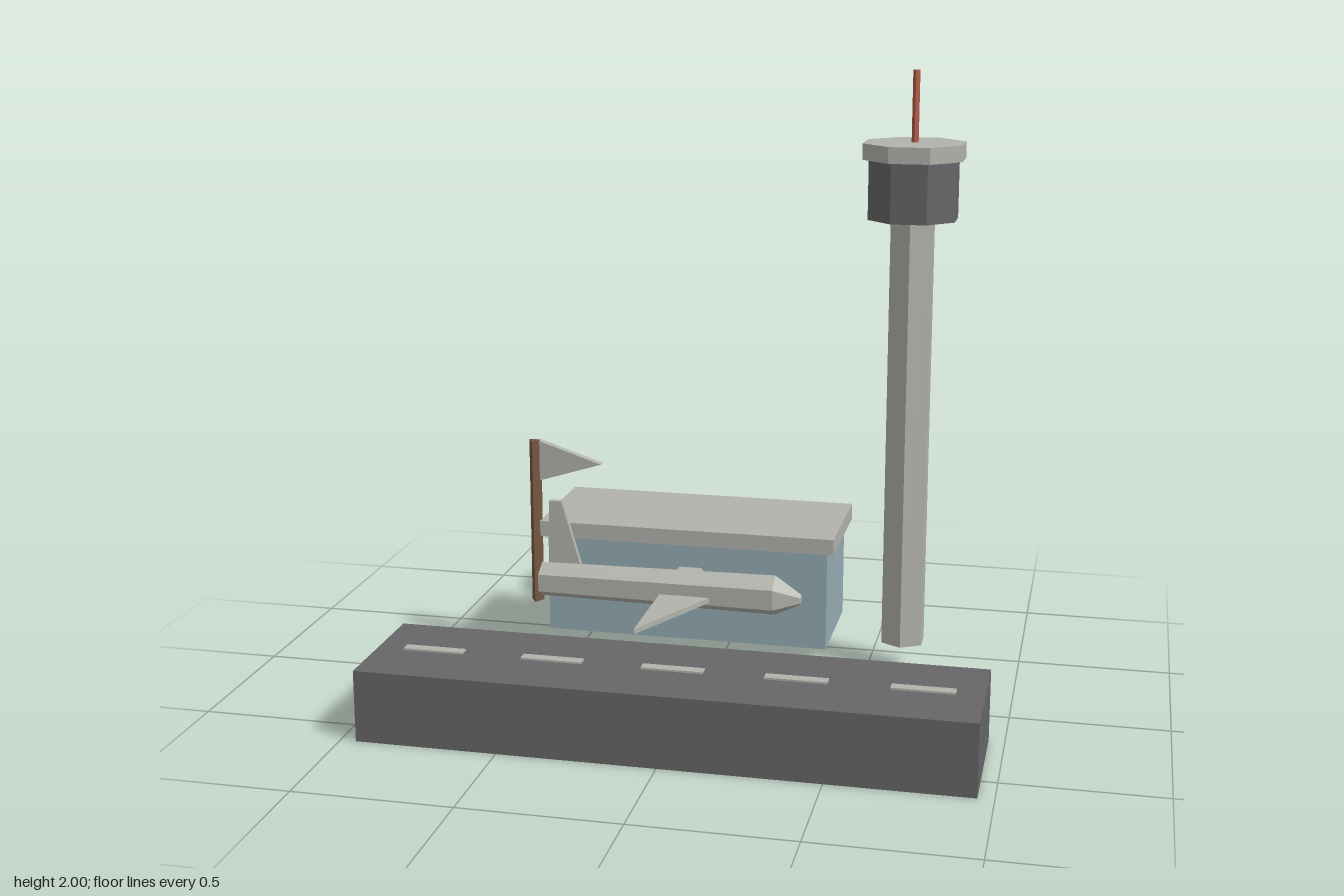
import * as THREE from 'three';

const mat = (name, color) => {
  const m = new THREE.MeshStandardMaterial({ color, flatShading: true });
  m.name = name;
  return m;
};

export function createModel() {
  const model = new THREE.Group();
  model.name = 'airfield';
  const asphalt = mat('asphalt grey', 0x666668);
  const concrete = mat('concrete grey', 0xb2b2ac);
  const glass = mat('blue glass', 0x95abb4);
  const wood = mat('brown wood', 0x73573f);
  const red = mat('antenna red', 0xb05a4a);

  const add = (name, geometry, material, parent = model) => {
    const mesh = new THREE.Mesh(geometry, material);
    mesh.name = name;
    parent.add(mesh);
    return mesh;
  };
  // Box given by its limits on each axis
  const box = (name, [x0, x1], [y0, y1], [z0, z1], material, parent) =>
    add(name, new THREE.BoxGeometry(x1 - x0, y1 - y0, z1 - z0), material, parent)
      .position.set((x0 + x1) / 2, (y0 + y1) / 2, (z0 + z1) / 2);
  // Upright prism with a given number of sides
  const prism = (name, r, y0, y1, sides, turn, material, parent) => {
    const g = new THREE.CylinderGeometry(r, r, y1 - y0, sides);
    g.rotateY(turn).translate(0, (y0 + y1) / 2, 0);
    return add(name, g, material, parent);
  };
  // Flat plate from an outline, centred on z = 0
  const plate = (points, depth) =>
    new THREE.ExtrudeGeometry(new THREE.Shape(points.map(p => new THREE.Vector2(...p))),
      { depth, bevelEnabled: false }).translate(0, 0, -depth / 2);
  const group = (name) => {
    const g = new THREE.Group();
    g.name = name;
    model.add(g);
    return g;
  };

  // Runway with dashed centre line
  const runway = group('runway');
  box('runwaySlab', [-0.95, 0.95], [0, 0.23], [0.19, 0.62], asphalt, runway);
  for (let i = -2; i <= 2; i++) {
    const x = i * 0.383;
    box('centreStripe', [x - 0.097, x + 0.097], [0.229, 0.236], [0.382, 0.418], concrete, runway);
  }

  // Terminal building
  const terminal = group('terminal');
  box('terminalWalls', [-0.575, 0.378], [0.1, 0.434], [-0.598, -0.212], glass, terminal);
  box('terminalRoof', [-0.598, 0.402], [0.434, 0.487], [-0.62, -0.193], concrete, terminal);

  // Control tower
  const tower = group('controlTower');
  tower.position.set(0.617, 0, -0.356);
  prism('towerShaft', 0.077, 0.1, 1.53, 6, 0, concrete, tower);
  prism('towerCab', 0.15, 1.528, 1.72, 8, Math.PI / 8, asphalt, tower);
  prism('towerRoof', 0.171, 1.72, 1.772, 8, Math.PI / 8, concrete, tower);
  prism('antenna', 0.013, 1.77, 2, 3, 0, red, tower);

  // Flagpole and pennant
  prism('flagPole', 0.024, 0.197, 0.762, 3, 0, wood).position.set(-0.62, 0, -0.216);
  add('pennant', plate([[-0.6, 0.762], [-0.6, 0.625], [-0.387, 0.692]], 0.026), concrete)
    .position.z = -0.22;

  // Aircraft, nose towards +x
  const plane = group('aircraft');
  plane.position.set(0, 0.36, 0.022);
  const tube = (rBack, rFront, x0, x1) =>
    new THREE.CylinderGeometry(rFront, rBack, x1 - x0, 6)
      .rotateY(Math.PI / 2).rotateZ(-Math.PI / 2).translate((x0 + x1) / 2, 0, 0);
  add('fuselage', tube(0.057, 0.066, -0.526, 0.248), concrete, plane);
  const nose = tube(0.066, 0.017, 0.248, 0.332);
  const p = nose.attributes.position;
  for (let i = 0; i < p.count; i++) // droop the tip slightly
    if (p.getX(i) > 0.3) p.setY(i, p.getY(i) - 0.009);
  add('nose', nose, concrete, plane);

  // Wings as one swept triangle, lying flat
  const wing = plate([[-0.12, -0.383], [0.071, 0], [-0.12, 0.383]], 0.017).rotateX(-Math.PI / 2);
  add('wings', wing, concrete, plane).position.y = -0.015;

  // Tail fin, set to the far side of the fuselage
  add('tailFin', plate([[-0.526, 0.24], [-0.526, -0.005], [-0.42, 0.02], [-0.484, 0.24]], 0.02),
    concrete, plane).position.z = -0.095;

  return model;
}
